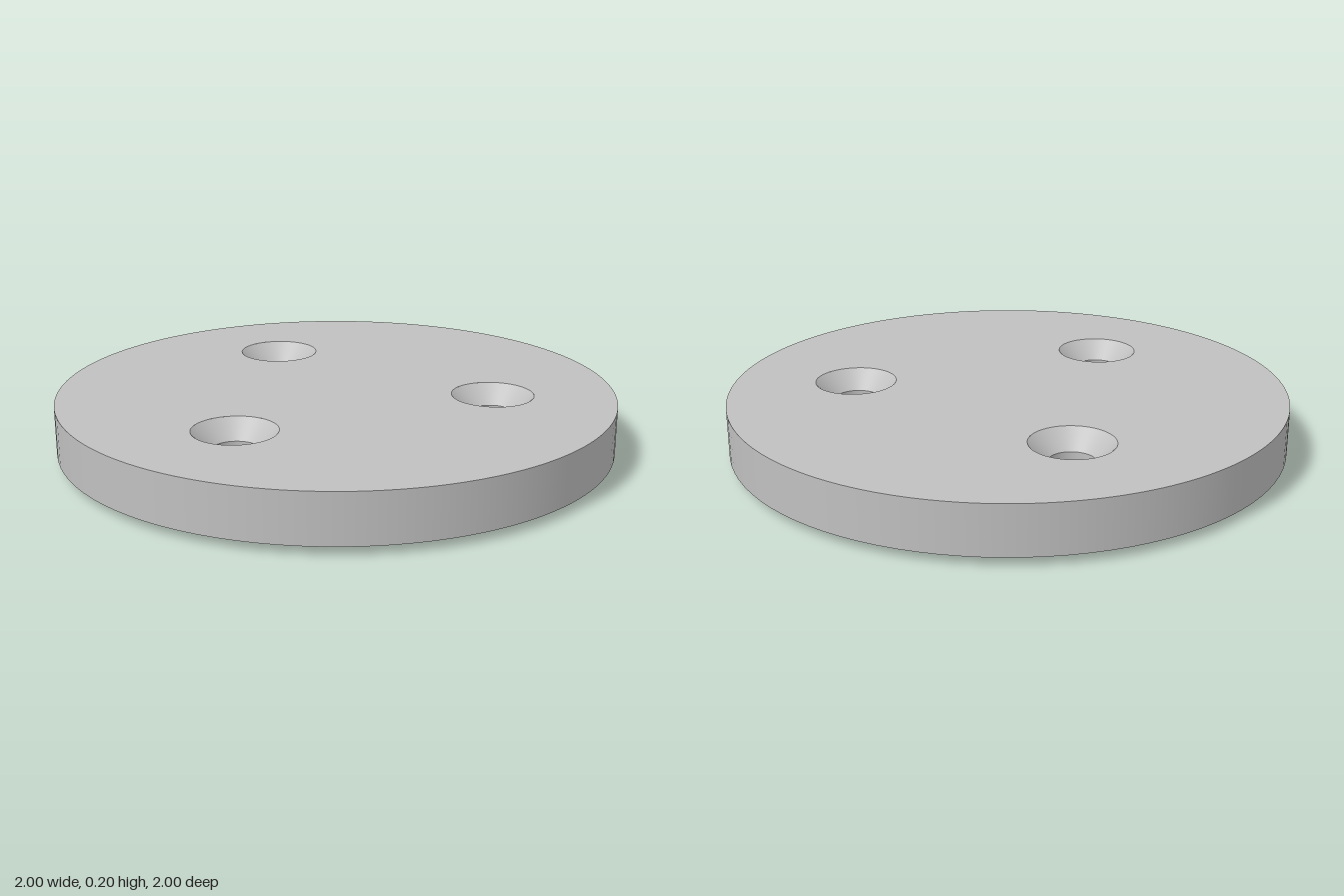
import * as THREE from 'three';

const SEGMENTS = 96;
const BASE = 0.03, TOP = 0.205;           // underside and top of the plate
const BORE = 0.08, RIM = 0.147, BOSS = 0.192; // hole, countersink and boss radii
const HOLE_CIRCLE = 0.563;
const SINK = TOP - (RIM - BORE);          // depth of the 45 degree countersink

export function createModel() {
  const grey = new THREE.MeshStandardMaterial({ color: 0xc0c0c0 });
  grey.name = 'plain grey';

  const model = new THREE.Group();
  model.name = 'drilledDisc';

  // Three hole centres, one at the back and two towards the front
  const centres = [0, 1, 2].map(i => {
    const a = i * Math.PI * 2 / 3;
    return { x: HOLE_CIRCLE * Math.sin(a), z: -HOLE_CIRCLE * Math.cos(a) };
  });

  const add = (parent, name, geometry) => {
    const mesh = new THREE.Mesh(geometry, grey);
    mesh.name = name;
    parent.add(mesh);
    return mesh;
  };

  // One turned surface between two profile points, so edges stay sharp
  const turned = (r1, y1, r2, y2) => new THREE.LatheGeometry(
    [new THREE.Vector2(r1, y1), new THREE.Vector2(r2, y2)], SEGMENTS);

  // Flat disc face with three round openings, facing up (1) or down (-1)
  const face = (openingRadius, y, side) => {
    const shape = new THREE.Shape().absarc(0, 0, 1, 0, Math.PI * 2);
    for (const c of centres) {
      shape.holes.push(new THREE.Path().absarc(c.x, -side * c.z, openingRadius, 0, Math.PI * 2, true));
    }
    return new THREE.ShapeGeometry(shape, SEGMENTS).rotateX(-side * Math.PI / 2).translate(0, y, 0);
  };

  // Plate
  add(model, 'plateRim', turned(1, BASE, 1, TOP));
  add(model, 'plateTop', face(RIM, TOP, 1));
  add(model, 'plateUnderside', face(BOSS, BASE, -1));

  // Countersunk through holes with raised bosses underneath
  centres.forEach((c, i) => {
    const hole = new THREE.Group();
    hole.name = `screwHole${i + 1}`;
    hole.position.set(c.x, 0, c.z);
    add(hole, 'bossFace', turned(BORE, 0, BOSS, 0));
    add(hole, 'bossWall', turned(BOSS, 0, BOSS, BASE));
    add(hole, 'countersink', turned(RIM, TOP, BORE, SINK));
    add(hole, 'boreWall', turned(BORE, SINK, BORE, 0));
    model.add(hole);
  });

  return model;
}
